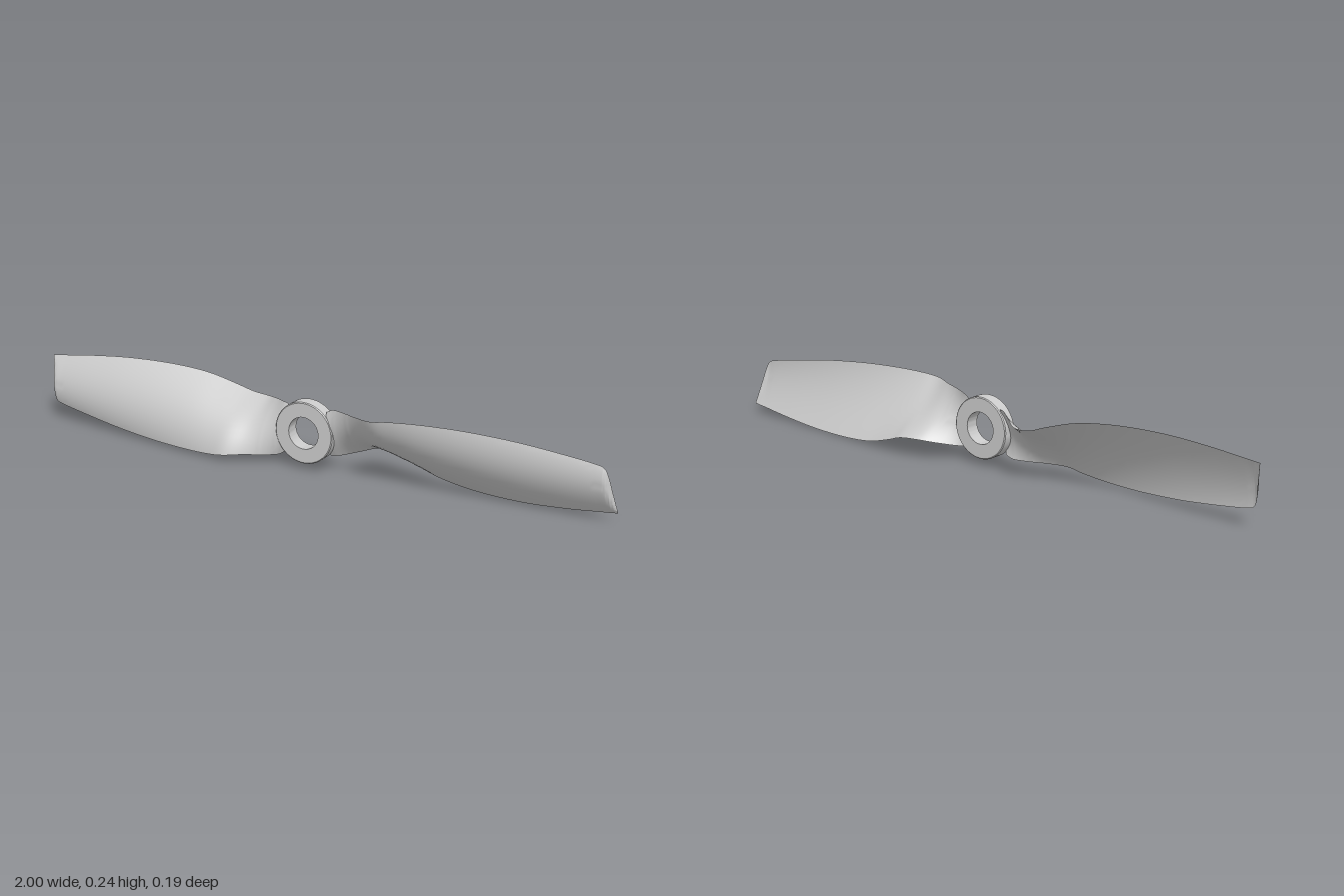
import * as THREE from 'three';
import { toCreasedNormals } from 'three/addons/utils/BufferGeometryUtils.js';

const HUB_Y = 0.125;

// blade stations: x, leading edge y, z, trailing edge y, z
const STATIONS = [
  [0.075, 0.203, 0.02, 0.052, -0.01],
  [0.1, 0.215, 0.024, 0.052, -0.022],
  [0.15, 0.219, 0.045, 0.061, -0.062],
  [0.2, 0.22, 0.067, 0.07, -0.096],
  [0.26, 0.225, 0.092, 0.065, -0.1],
  [0.32, 0.232, 0.087, 0.045, -0.09],
  [0.42, 0.236, 0.074, 0.018, -0.076],
  [0.55, 0.234, 0.057, 0.005, -0.06],
  [0.7, 0.223, 0.038, 0.005, -0.046],
  [0.84, 0.205, 0.022, 0.016, -0.037],
  [0.94, 0.189, 0.012, 0.028, -0.032],
  [0.965, 0.179, 0.01, 0.031, -0.031],
  [0.976, 0.155, 0.004, 0.032, -0.031],
  [0.988, 0.095, -0.013, 0.034, -0.03],
  [1.0, 0.037, -0.029, 0.035, -0.03],
];

// cambered airfoil lofted along two edge curves
function bladeGeometry() {
  const curve = (k) => new THREE.CatmullRomCurve3(
    STATIONS.map((s) => new THREE.Vector3(s[0], s[k] - HUB_Y, s[k + 1])), false, 'catmullrom', 0.5);
  const lead = curve(1), trail = curve(3);
  const rows = (STATIONS.length - 1) * 5, n = 16, ring = 2 * n;
  const pos = [], index = [];
  for (let i = 0; i <= rows; i++) {
    const a = lead.getPoint(i / rows), b = trail.getPoint(i / rows);
    const dy = b.y - a.y, dz = b.z - a.z;
    for (let j = 0; j < ring; j++) {
      const front = j <= n;
      const t = (1 - Math.cos(Math.PI * (front ? j : ring - j) / n)) / 2;
      const bulge = 4 * t * (1 - t) * (1.25 - 0.5 * t) * (front ? 0.135 : 0.06);
      pos.push(a.x, a.y + dy * t + dz * bulge, a.z + dz * t - dy * bulge);
    }
  }
  for (let i = 0; i < rows; i++) {
    for (let j = 0; j < ring; j++) {
      const a = i * ring + j, b = i * ring + (j + 1) % ring;
      index.push(a, b, a + ring, b, b + ring, a + ring);
    }
  }
  // close the root and the tip
  const last = rows * ring;
  for (let j = 0; j < n; j++) {
    const p = j, q = j + 1, r = (ring - j) % ring, s = ring - j - 1;
    index.push(p, r, q, q, r, s);
    index.push(last + p, last + q, last + r, last + q, last + s, last + r);
  }
  const g = new THREE.BufferGeometry();
  g.setAttribute('position', new THREE.Float32BufferAttribute(pos, 3));
  g.setIndex(index);
  return toCreasedNormals(g, 0.7);
}

// ring-shaped hub with slightly eased rims
function hubGeometry() {
  const R = 0.1, r = 0.052, z0 = -0.015, z1 = 0.032, e = 0.003;
  const profile = [
    [r, z0], [R - e, z0], [R, z0 + e], [R, z1 - e], [R - e, z1], [r, z1], [r, z0],
  ].map(([x, y]) => new THREE.Vector2(x, y));
  return toCreasedNormals(new THREE.LatheGeometry(profile, 64).rotateX(Math.PI / 2), 0.5);
}

export function createModel() {
  const model = new THREE.Group();
  model.name = 'propeller';
  const material = new THREE.MeshStandardMaterial({ color: 0xcccccc });

  const hub = new THREE.Mesh(hubGeometry(), material);
  hub.name = 'hub';
  hub.position.y = HUB_Y;
  model.add(hub);

  // two blades, half a turn apart
  const geometry = bladeGeometry();
  ['leftBlade', 'rightBlade'].forEach((name, i) => {
    const blade = new THREE.Mesh(geometry, material);
    blade.name = name;
    blade.position.y = HUB_Y;
    blade.rotation.z = i * Math.PI;
    model.add(blade);
  });
  return model;
}
